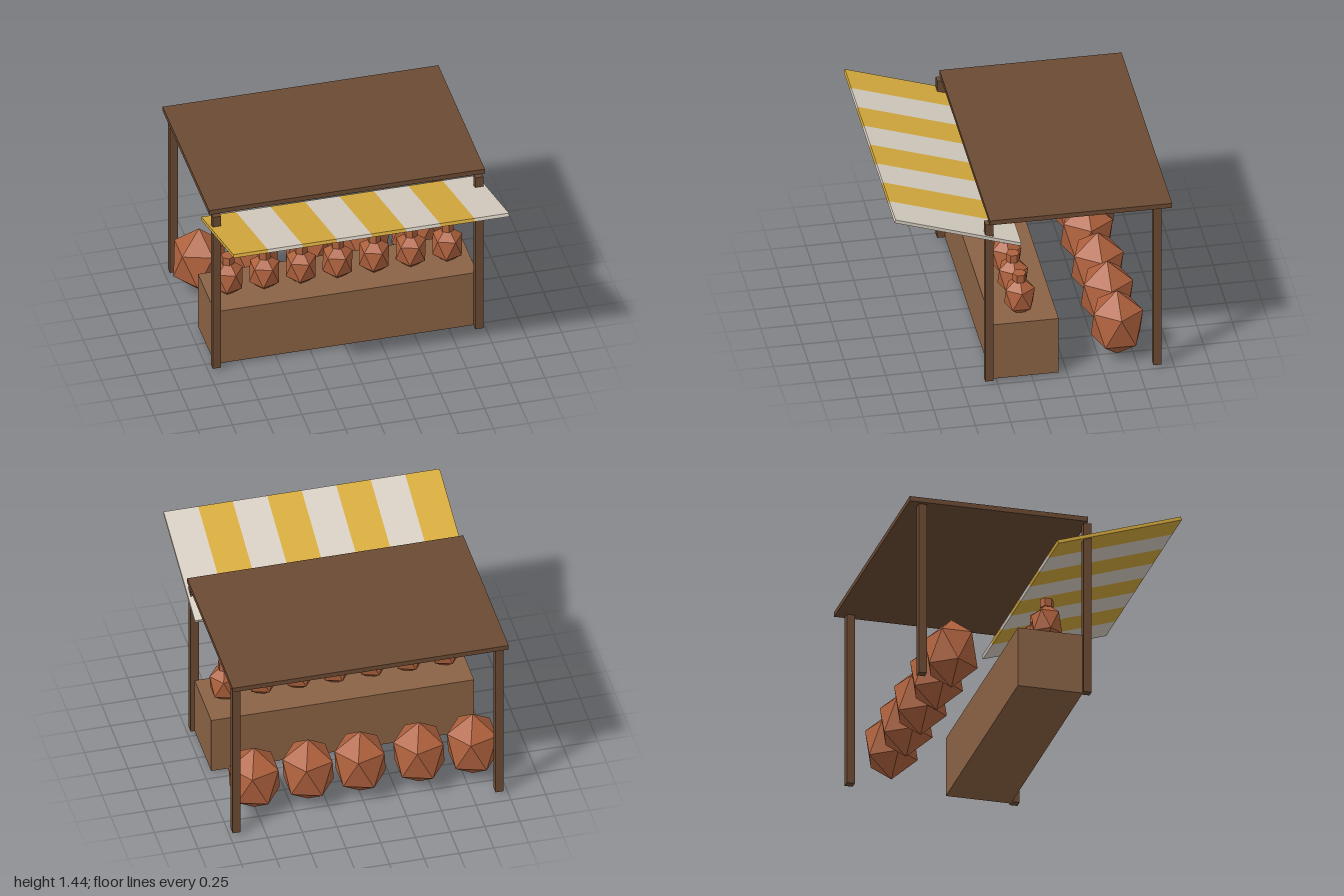
import * as THREE from 'three';
import { ConvexGeometry } from 'three/addons/geometries/ConvexGeometry.js';

// Icosahedron standing on a pole: two staggered rings of five plus two tips
function standingIcosahedron(radius, halfHeight) {
  const points = [new THREE.Vector3(0, halfHeight, 0), new THREE.Vector3(0, -halfHeight, 0)];
  for (let i = 0; i < 10; i++) {
    const a = (i * Math.PI) / 5;
    const y = (i % 2 ? -1 : 1) * 0.447 * halfHeight;
    points.push(new THREE.Vector3(radius * Math.cos(a), y, radius * Math.sin(a)));
  }
  return new ConvexGeometry(points);
}

export function createModel() {
  const model = new THREE.Group();
  model.name = 'marketStall';

  const material = (name, color) => {
    const m = new THREE.MeshStandardMaterial({ color, flatShading: true });
    m.name = name;
    return m;
  };
  const darkWood = material('darkWood', 0x6b4a33);
  const lightWood = material('lightWood', 0x8b6345);
  const terracotta = material('terracotta', 0xb0623e);
  const yellowCloth = material('yellowCloth', 0xd8ac3e);
  const whiteCloth = material('whiteCloth', 0xd9d0c3);

  const add = (name, geometry, mat, x, y, z, parent = model) => {
    const mesh = new THREE.Mesh(geometry, mat);
    mesh.name = name;
    mesh.position.set(x, y, z);
    parent.add(mesh);
    return mesh;
  };
  const cx = 0.005; // stall centre, as the end pot sticks out on one side

  // Roof, counter and four posts
  add('roof', new THREE.BoxGeometry(1.985, 0.036, 1.29), darkWood, cx, 1.335, -0.339);
  add('counter', new THREE.BoxGeometry(1.89, 0.445, 0.47), lightWood, cx, 0.2385, 0.046);
  const post = new THREE.BoxGeometry(0.058, 1.295, 0.058);
  for (const side of [-1, 1]) {
    add('frontPost', post, darkWood, cx + side * 0.945, 0.6645, 0.307);
    add('backPost', post, darkWood, cx + side * 0.945, 0.6645, -0.884);
  }

  // Striped awning, raised at the front
  const awning = new THREE.Group();
  awning.name = 'awning';
  awning.position.set(cx, 1.28, 0.533);
  awning.rotation.x = -0.315;
  model.add(awning);
  const stripeWidth = 1.985 / 8;
  const stripe = new THREE.BoxGeometry(stripeWidth, 0.025, 0.938);
  for (let i = 0; i < 8; i++) {
    add('awningStripe', stripe, i % 2 ? whiteCloth : yellowCloth, (i - 3.5) * stripeWidth, 0, 0, awning);
  }

  // Row of lidded jars on the counter
  const jarBody = standingIcosahedron(0.108, 0.157);
  const jarNeck = new THREE.CylinderGeometry(0.048, 0.048, 0.06, 6);
  for (let i = -3; i <= 3; i++) {
    const jar = new THREE.Group();
    jar.name = 'jar';
    jar.position.set(i * 0.2635, 0, 0.06);
    model.add(jar);
    add('jarBody', jarBody, terracotta, 0, 0.583, 0, jar);
    add('jarNeck', jarNeck, terracotta, 0, 0.738, 0, jar);
  }

  // Large pots on the ground behind the counter
  const pot = standingIcosahedron(0.184, 0.26);
  for (const x of [-0.816, -0.43, -0.007, 0.367, 0.755]) {
    add('largePot', pot, terracotta, x, 0.26, -0.637);
  }

  return model;
}
